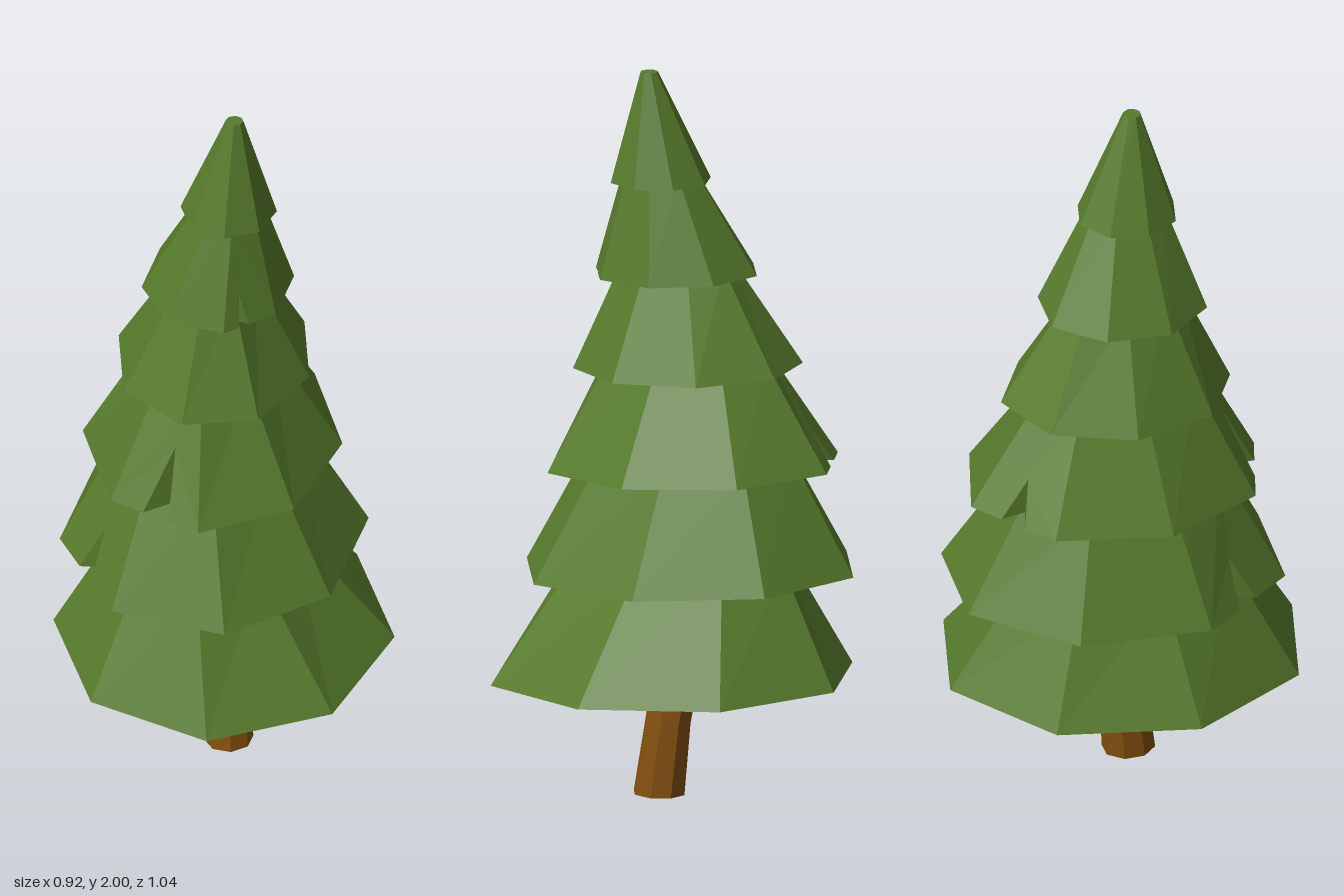
import * as THREE from 'three';

const SIDES = 8;
const green = new THREE.MeshStandardMaterial({ color: 0x567a2c, flatShading: true });
const brown = new THREE.MeshStandardMaterial({ color: 0x84500f, flatShading: true });

// Each tier: rim and top rings as [cx, y, cz, rx, rz]; turn = rotation of the corners,
// tilt = how much the rim rises toward the back,
// notches = [side, u of left end, u of right end, u of tip, height of tip 0..1]
const TIERS = [
  { rim: [0, 0.33, 0, 0.46, 0.52], top: [-0.045, 0.66, -0.01, 0.225, 0.32], turn: 0, tilt: 0.04, notches: [] },
  { rim: [-0.03, 0.622, -0.04, 0.415, 0.485], top: [-0.047, 0.95, -0.042, 0.23, 0.3], turn: 0.17, tilt: 0.05,
    notches: [[6, 0.38, 0.6, 0.5, 0.38]] },
  { rim: [-0.035, 0.912, -0.045, 0.35, 0.43], top: [-0.04, 1.22, -0.035, 0.165, 0.245], turn: 0, tilt: 0.062,
    notches: [[7, 0.37, 0.66, 0.6, 0.55], [4, 0.36, 0.64, 0.47, 0.38]] },
  { rim: [-0.03, 1.182, -0.033, 0.27, 0.325], top: [-0.02, 1.48, -0.01, 0.108, 0.162], turn: -0.22, tilt: 0.055, notches: [] },
  { rim: [-0.017, 1.443, -0.005, 0.205, 0.238], top: [0.019, 1.73, 0.023, 0.084, 0.108], turn: 0.18, tilt: 0.05,
    notches: [[0, 0.3, 0.48, 0.3, 0.3]] },
  { rim: [0.015, 1.7, 0.025, 0.13, 0.142], top: [0.033, 2, 0.05, 0.024, 0.024], turn: 0, tilt: 0.03, notches: [] },
];

function ring([cx, y, cz, rx, rz], turn, tilt = 0) {
  return Array.from({ length: SIDES }, (_, i) => {
    const a = turn + (i * 2 * Math.PI) / SIDES;
    const z = cz + rz * Math.cos(a);
    return new THREE.Vector3(cx + rx * Math.sin(a), y - tilt * z, z);
  });
}

function flatGeometry(points) {
  const g = new THREE.BufferGeometry().setFromPoints(points);
  g.computeVertexNormals();
  return g;
}

// Faceted skirt with a hollow underside and optional wedge cuts in the rim
function tierGeometry({ rim, top, turn, tilt, notches }) {
  const outer = ring(rim, turn, tilt);
  const upper = ring(top, turn);
  const inner = upper.map((p, i) => new THREE.Vector3(p.x, outer[i].y + 0.03, p.z).lerp(outer[i], 0.2));
  const points = [];

  for (let i = 0; i < SIDES; i++) {
    const j = (i + 1) % SIDES;
    const place = (ends, p) => outer[i].clone().lerp(outer[j], p.x)
      .lerp(ends[i].clone().lerp(ends[j], p.x), p.y);
    const notch = notches.find((n) => n[0] === i);
    const outline = [new THREE.Vector2(0, 0)];
    if (notch) {
      const [, u0, u1, tipU, tipV] = notch;
      const a = new THREE.Vector2(u0, 0);
      const tip = new THREE.Vector2(tipU, tipV);
      const b = new THREE.Vector2(u1, 0);
      outline.push(a, tip, b);
      // Walls of the cut
      const hi = place(upper, tip), lo = place(inner, tip);
      points.push(place(upper, a), lo, hi, place(upper, b), hi, lo);
    }
    outline.push(new THREE.Vector2(1, 0), new THREE.Vector2(1, 1), new THREE.Vector2(0, 1));

    // Sloping side and matching underside
    for (const [a, b, c] of THREE.ShapeUtils.triangulateShape(outline, [])) {
      points.push(...[a, b, c].map((k) => place(upper, outline[k])));
      points.push(...[a, c, b].map((k) => place(inner, outline[k])));
    }
    // Caps
    if (i > 0 && i < SIDES - 1) {
      points.push(upper[0], upper[i], upper[j], inner[0], inner[j], inner[i]);
    }
  }
  return flatGeometry(points);
}

// Leaning trunk through a few rings
function trunkGeometry() {
  const rings = [
    [0.015, 0, 0.03, 0.067, 0.074],
    [0.005, 0.2, 0.008, 0.059, 0.066],
    [-0.014, 0.36, -0.01, 0.058, 0.07],
    [-0.03, 0.6, -0.03, 0.05, 0.055],
  ].map((r) => ring(r, 0.2));
  const points = [];
  for (let i = 0; i < SIDES; i++) {
    const j = (i + 1) % SIDES;
    for (let k = 0; k < rings.length - 1; k++) {
      const [lo, hi] = [rings[k], rings[k + 1]];
      points.push(lo[i], lo[j], hi[j], lo[i], hi[j], hi[i]);
    }
    if (i > 0 && i < SIDES - 1) points.push(rings[0][0], rings[0][j], rings[0][i]);
  }
  return flatGeometry(points);
}

export function createModel() {
  const tree = new THREE.Group();
  tree.name = 'pineTree';

  const trunk = new THREE.Mesh(trunkGeometry(), brown);
  trunk.name = 'trunk';
  tree.add(trunk);

  TIERS.forEach((tier, i) => {
    const mesh = new THREE.Mesh(tierGeometry(tier), green);
    mesh.name = `foliageTier${i + 1}`;
    tree.add(mesh);
  });
  return tree;
}
